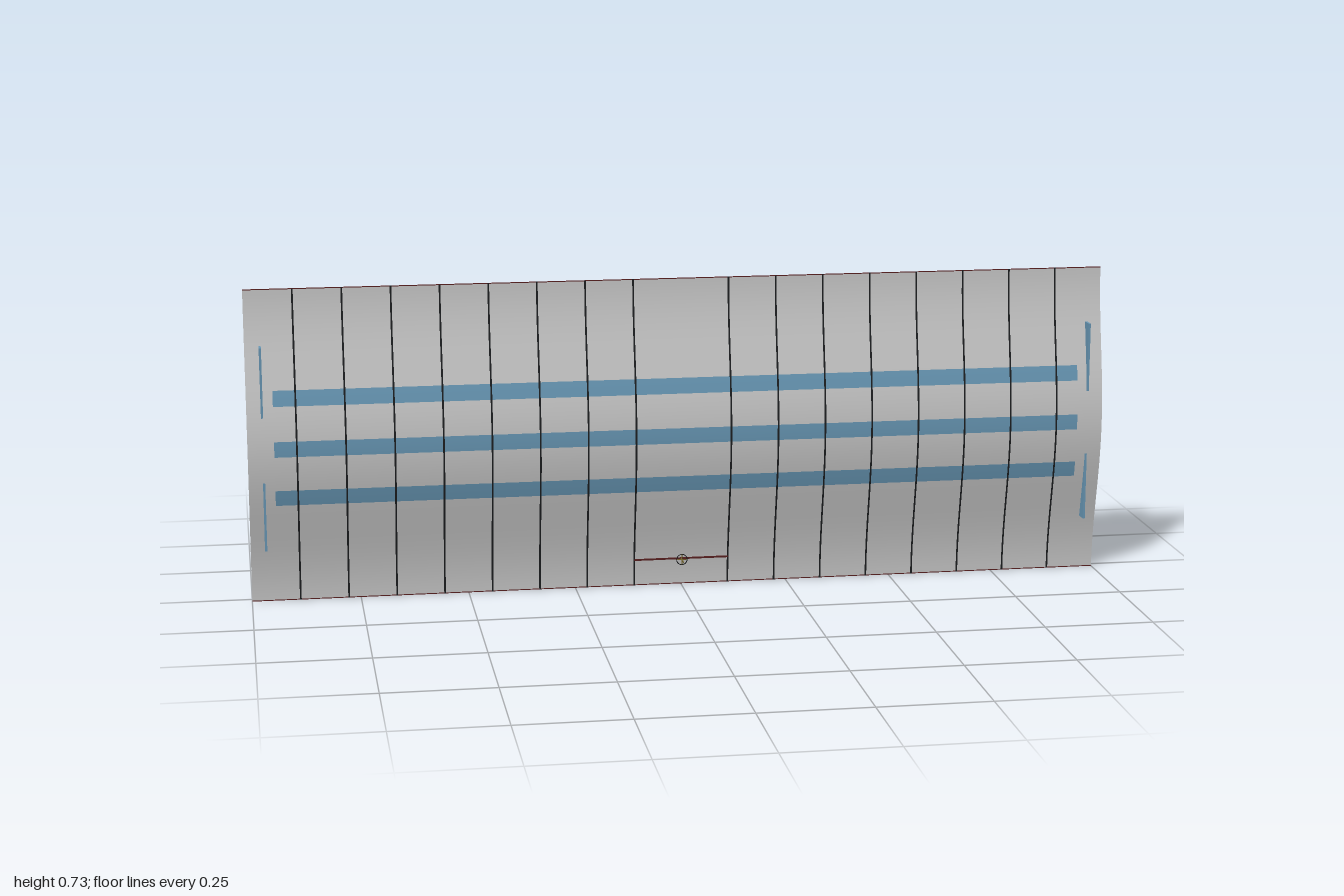
import * as THREE from 'three';

const mat = (color) => new THREE.MeshStandardMaterial({ color, side: THREE.DoubleSide });
const GREY = mat(0xcccccc), BLUE = mat(0x6a9ab8), DARK = mat(0x666c70), BLACK = mat(0x1c1e20);
const RED = mat(0x5a2020), OLIVE = mat(0x7a6a30);
const H = 0.73;

// Depth of the bulging front skin at height y
const skinZ = (y) => 0.0425 - 0.0245 * Math.cos((2 * Math.PI * y) / H);

export function createModel() {
  const root = new THREE.Group();

  const add = (name, geometry, material) => {
    const mesh = new THREE.Mesh(geometry, material);
    mesh.name = name;
    root.add(mesh);
    return mesh;
  };

  // Box given by its limits on each axis
  const box = (name, material, [x0, x1], [y0, y1], [z0, z1]) => {
    const mesh = add(name, new THREE.BoxGeometry(x1 - x0, y1 - y0, z1 - z0), material);
    mesh.position.set((x0 + x1) / 2, (y0 + y1) / 2, (z0 + z1) / 2);
    return mesh;
  };

  // Sheet bent along the front skin, raised by an offset
  const sheet = (name, material, [x0, x1], [y0, y1], offset, rows) => {
    const g = new THREE.PlaneGeometry(x1 - x0, y1 - y0, 1, rows);
    g.translate((x0 + x1) / 2, (y0 + y1) / 2, 0);
    const p = g.attributes.position;
    for (let i = 0; i < p.count; i++) p.setZ(i, skinZ(p.getY(i)) + offset);
    g.computeVertexNormals();
    return add(name, g, material);
  };

  // Thin square rod between two points
  const rod = (name, material, a, b, r) => {
    const start = new THREE.Vector3(...a), end = new THREE.Vector3(...b);
    const dir = end.clone().sub(start);
    const mesh = add(name, new THREE.CylinderGeometry(r, r, dir.length(), 6), material);
    mesh.position.copy(start).add(end).multiplyScalar(0.5);
    mesh.quaternion.setFromUnitVectors(new THREE.Vector3(0, 1, 0), dir.normalize());
    return mesh;
  };

  // Front skin with its blue stripes
  sheet('frontSkin', GREY, [-1, 1], [0, H], 0, 48);
  for (const y of [0.252, 0.368, 0.484]) {
    sheet('frontStripe', BLUE, [-0.94, 0.94], [y - 0.018, y + 0.018], 0.0008, 6);
  }

  // Vertical seams, and the trim on the upper and lower edges
  for (let k = 1; k <= 8; k++) {
    for (const s of [-1, 1]) {
      const x = (s * k) / 9;
      sheet('skinSeam', BLACK, [x - 0.002, x + 0.002], [0, H], 0.0014, 48);
    }
  }
  for (const y of [0.001, H - 0.001]) {
    box('edgeTrim', RED, [-1, 1], [y - 0.001, y + 0.001], [0.0172, 0.0188]);
  }

  // Back board
  box('backBoard', DARK, [-0.928, 0.928], [0.052, 0.678], [-0.067, -0.0655]);

  // Core box behind the skin, with blue caps
  box('coreBox', GREY, [-0.875, 0.875], [0.122, 0.608], [-0.065, -0.016]);
  box('coreTopCap', BLUE, [-0.84, 0.84], [0.608, 0.611], [-0.0645, -0.018]);
  box('coreBottomCap', BLUE, [-0.84, 0.84], [0.119, 0.122], [-0.0645, -0.018]);

  // Rails across the front of the core, with bars standing at both ends
  const railY = [0.205, 0.295, 0.366, 0.44, 0.53];
  for (const y of railY) {
    box('rail', GREY, [-0.92, 0.92], [y - 0.021, y + 0.021], [-0.015, -0.011]);
    for (const s of [-1, 1]) {
      box('endBar', GREY, [s * 0.955 - 0.006, s * 0.955 + 0.006], [y - 0.006, y + 0.006], [-0.066, -0.016]);
    }
  }

  // End fins that cut through the skin, with flange and brackets
  for (const s of [-1, 1]) {
    const span = (x, w) => [s * x - w / 2, s * x + w / 2];
    box('endFin', BLUE, span(0.965, 0.005), [0.13, 0.602], [0.021, 0.062]);
    box('finFlange', BLACK, span(0.963, 0.012), [0.115, 0.616], [0.0195, 0.0225]);
    for (const [y0, y1] of [[0.137, 0.21], [0.288, 0.355], [0.377, 0.445], [0.522, 0.595]]) {
      box('finBracket', BLUE, span(0.9, 0.008), [y0, y1], [-0.01, 0.02]);
    }
  }

  // Paired struts joining skin to back board, above and below
  for (let i = -6; i <= 6; i++) {
    const x = i * 0.13;
    for (const s of [-1, 1]) {
      rod('upperStrut', BLACK, [x + s * 0.024, 0.655, 0.021], [x + s * 0.01, 0.684, -0.065], 0.002);
      rod('lowerStrut', BLACK, [x + s * 0.024, 0.075, 0.021], [x + s * 0.01, 0.048, -0.065], 0.002);
    }
  }

  // Handle bar and spindle low on the centre line
  box('handleBar', RED, [-0.112, 0.112], [0.0605, 0.0645], [0.011, 0.024]);
  rod('spindle', OLIVE, [0, 0.0625, 0.012], [0, 0.0625, 0.062], 0.0015);
  const ring = add('spindleRing', new THREE.TorusGeometry(0.0125, 0.001, 6, 20), BLACK);
  ring.position.set(0, 0.0625, 0.035);
  rod('ringSpoke', OLIVE, [0, 0.05, 0.035], [0, 0.075, 0.035], 0.001);
  rod('ringSpoke', OLIVE, [-0.0125, 0.0625, 0.035], [0.0125, 0.0625, 0.035], 0.001);

  return root;
}
